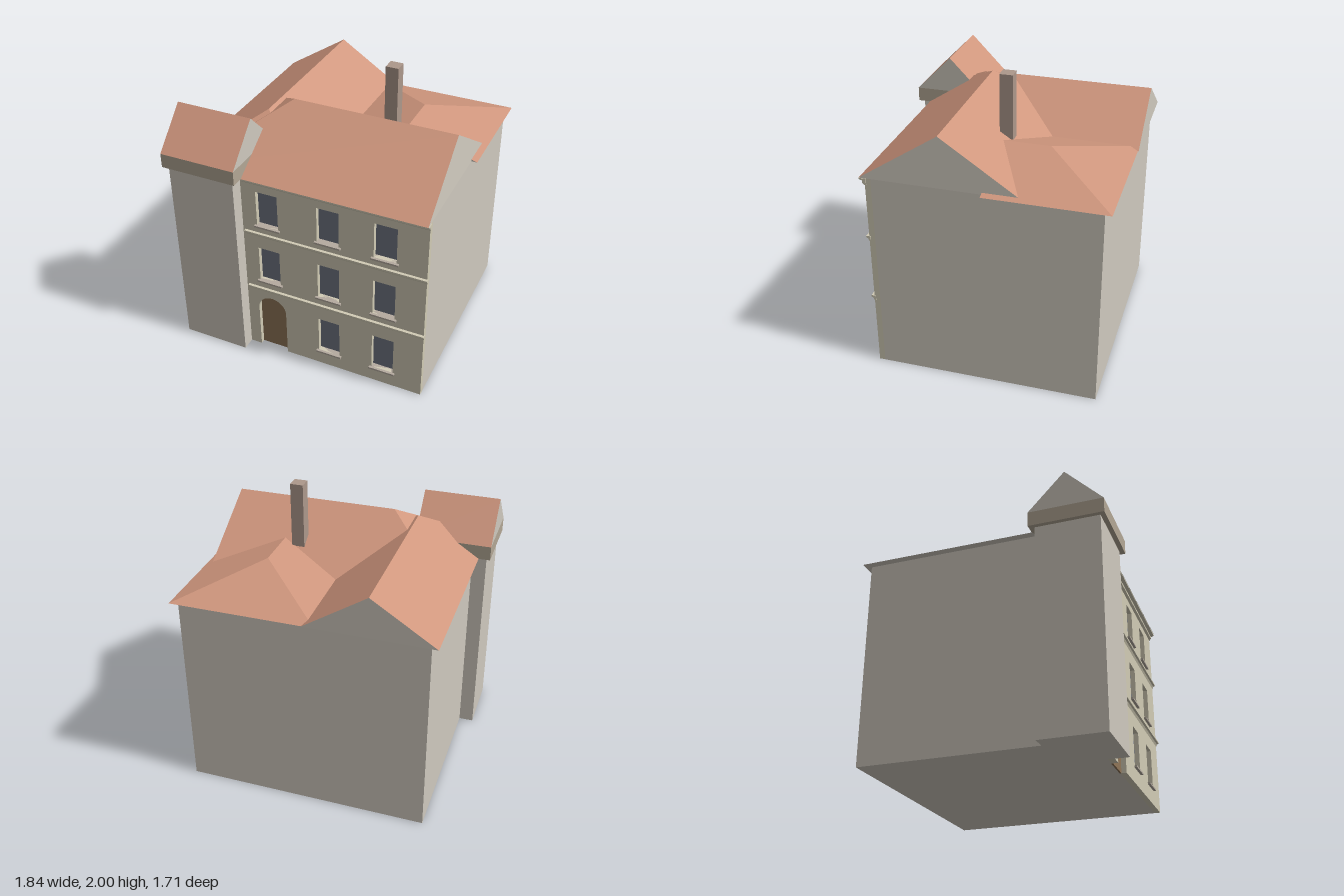
import * as THREE from 'three';

const paint = (color) => new THREE.MeshStandardMaterial({ color, flatShading: true });
const WALL = paint(0xcfc9be), FACADE = paint(0xd1cbb5), ROOF = paint(0xcf967d), GLASS = paint(0x6f7583);
const DOOR = paint(0x8f7558), SILL = paint(0xb5aba0), BAND = paint(0xb3a795), CHIMNEY = paint(0xad988b);

const EAVE = 1.42;

export function createModel() {
  const house = new THREE.Group();
  house.name = 'townHouse';

  const add = (name, geometry, material, parent = house) => {
    const mesh = new THREE.Mesh(geometry, material);
    mesh.name = name;
    parent.add(mesh);
    return mesh;
  };

  // Box given by its limits on each axis
  const block = (name, [x0, x1], [y0, y1], [z0, z1], material, parent) =>
    add(name, new THREE.BoxGeometry(x1 - x0, y1 - y0, z1 - z0), material, parent)
      .position.set((x0 + x1) / 2, (y0 + y1) / 2, (z0 + z1) / 2);

  const polygon = (points) => new THREE.Shape(points.map(([a, b]) => new THREE.Vector2(a, b)));
  const extrude = (shape, depth) =>
    new THREE.ExtrudeGeometry(shape, { depth, bevelEnabled: false, curveSegments: 16 });

  // Flat convex faces, corners counter-clockwise from outside
  const faces = (list) => {
    const pos = [];
    for (const f of list)
      for (let i = 1; i < f.length - 1; i++) pos.push(...f[0], ...f[i], ...f[i + 1]);
    const g = new THREE.BufferGeometry();
    g.setAttribute('position', new THREE.Float32BufferAttribute(pos, 3));
    g.computeVertexNormals();
    return g;
  };

  // Closed roof over a rectangle with ridge p-q; each end is a tiled hip or a plain gable.
  // Ridges run from left to right (alongZ false) or from front to back (alongZ true).
  const roof = (name, [x0, x1], [z0, z1], y, p, q, { alongZ = false, gables = '' }) => {
    const group = new THREE.Group();
    group.name = name;
    house.add(group);
    const ring = alongZ
      ? [[x0, z1], [x1, z1], [x1, z0], [x0, z0]]
      : [[x0, z0], [x0, z1], [x1, z1], [x1, z0]];
    const [a, b, c, d] = ring.map(([x, z]) => [x, y, z]);
    const tiles = [[b, c, q, p], [d, a, p, q]];
    const plain = [[d, c, b, a]];
    (gables.includes('p') ? plain : tiles).push([a, b, p]);
    (gables.includes('q') ? plain : tiles).push([c, d, q]);
    add(name + 'Tiles', faces(tiles), ROOF, group);
    add(name + 'GableAndSoffit', faces(plain), WALL, group);
  };

  // Main block, its back wall slightly out of square
  const plan = polygon([[-0.79, -0.69], [0.88, -0.69], [0.88, 0.8], [-0.79, 0.815]]);
  add('mainWalls', extrude(plan, EAVE).rotateX(-Math.PI / 2), WALL);

  // Facade slab with an arched doorway and window openings
  const front = new THREE.Shape();
  front.moveTo(-0.42, 0);
  front.lineTo(-0.335, 0);
  front.lineTo(-0.335, 0.345);
  front.absarc(-0.23, 0.345, 0.105, Math.PI, 0, true);
  front.lineTo(-0.125, 0);
  front.lineTo(0.88, 0);
  front.lineTo(0.88, EAVE);
  front.lineTo(-0.42, EAVE);
  front.closePath();

  const columns = [[-0.31, -0.155], [0.125, 0.28], [0.52, 0.675]];
  const rows = [[0.12, 0.4], [0.6, 0.87], [1.06, 1.32]];
  const windows = new THREE.Group();
  windows.name = 'windows';
  house.add(windows);
  rows.forEach(([y0, y1], r) => columns.forEach(([x0, x1], c) => {
    if (r === 0 && c === 0) return; // the door stands here
    front.holes.push(new THREE.Path(polygon([[x0, y0], [x1, y0], [x1, y1], [x0, y1]]).getPoints()));
    block('windowPane', [x0, x1], [y0, y1], [0.685, 0.697], GLASS, windows);
    block('windowSill', [x0 - 0.015, x1 + 0.015], [y0 - 0.013, y0], [0.69, 0.748], SILL, windows);
  }));
  add('facade', extrude(front, 0.04).translate(0, 0, 0.69), FACADE);

  const door = new THREE.Shape();
  door.moveTo(-0.335, 0);
  door.lineTo(-0.125, 0);
  door.lineTo(-0.125, 0.345);
  door.absarc(-0.23, 0.345, 0.105, 0, Math.PI, false);
  door.closePath();
  add('archedDoor', extrude(door, 0.012).translate(0, 0, 0.685), DOOR);

  // Moulded string courses and the cornice, profiles as (z, y)
  const moulding = (name, profile) =>
    add(name, extrude(polygon(profile), 1.287).rotateY(-Math.PI / 2).translate(0.885, 0, 0), FACADE);
  for (const y of [0.535, 1.0])
    moulding('stringCourse', [[0.72, y - 0.035], [0.73, y - 0.035], [0.738, y - 0.018],
      [0.75, y - 0.012], [0.75, y], [0.72, y]]);
  moulding('cornice', [[0.72, 1.375], [0.73, 1.375], [0.745, 1.39], [0.745, 1.405],
    [0.768, 1.412], [0.768, 1.42], [0.72, 1.42]]);

  // Corner tower with its own gabled cap
  block('towerWalls', [-0.89, -0.417], [0, EAVE], [0.39, 0.823], WALL);
  block('towerCapBand', [-0.92, -0.385], [EAVE, 1.52], [0.355, 0.855], BAND);
  roof('towerRoof', [-0.92, -0.385], [0.355, 0.855], 1.52,
    [-0.92, 1.775, 0.603], [-0.385, 1.775, 0.603], { gables: 'pq' });

  // Street roof, side wing roof and low rear roof, running into each other at the valleys
  roof('streetRoof', [-0.8, 0.88], [-0.29, 0.77], EAVE,
    [-0.26, 1.765, 0.24], [0.865, 1.765, 0.24], { gables: 'q' });
  roof('wingRoof', [-0.84, 0.025], [-0.855, 0.76], EAVE,
    [-0.408, 1.7, 0.325], [-0.408, 1.7, -0.855], { alongZ: true, gables: 'q' });
  roof('rearRoof', [-0.06, 0.92], [-0.85, -0.04], EAVE,
    [0.43, 1.58, -0.04], [0.43, 1.58, -0.36], { alongZ: true, gables: 'p' });

  block('chimney', [0.277, 0.365], [1.43, 2], [-0.088, 0], CHIMNEY);

  return house;
}
